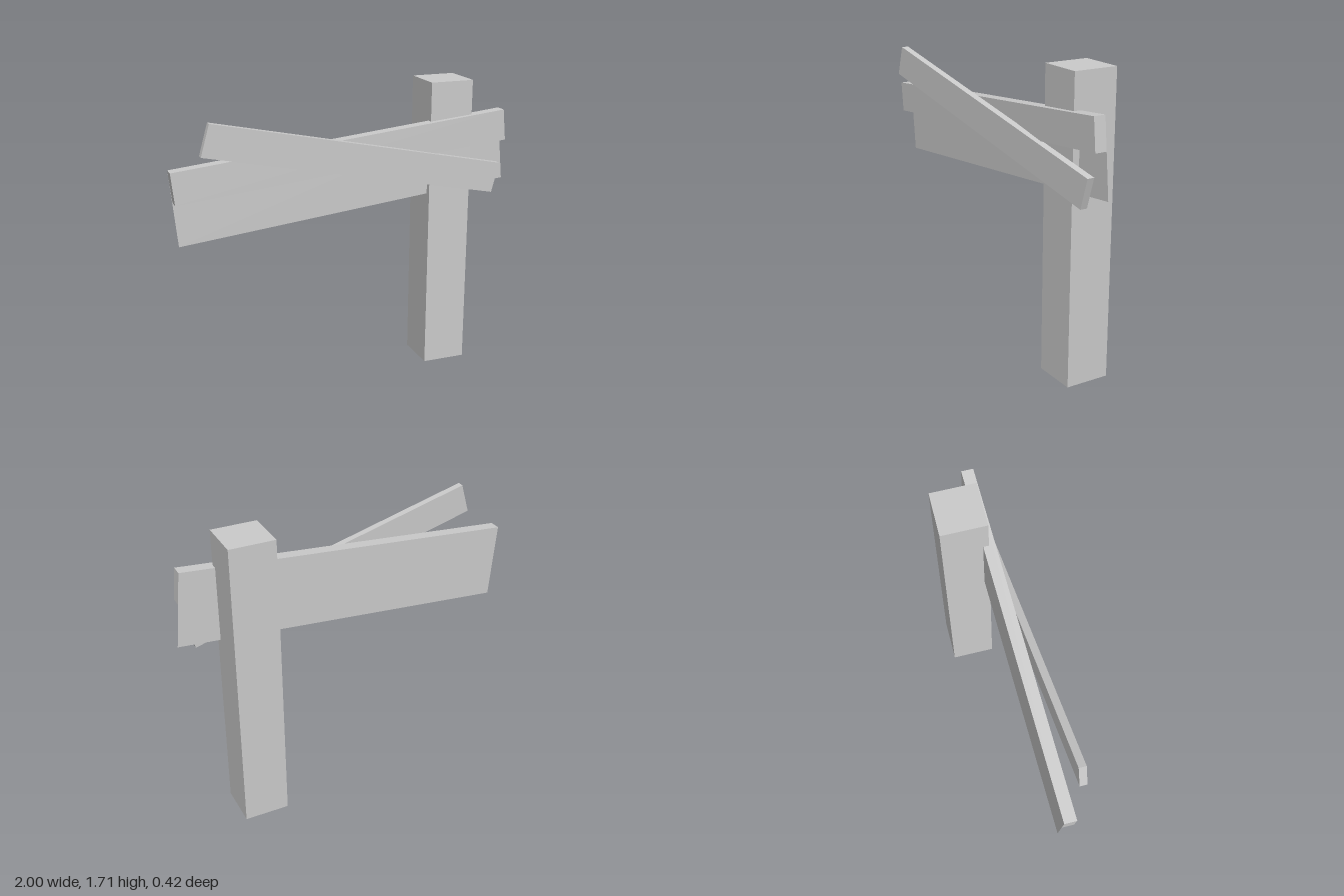
import * as THREE from 'three';

const material = new THREE.MeshStandardMaterial({ color: 0xcccccc, flatShading: true, side: THREE.DoubleSide });

// Plank outlined in the front plane, slanted so its back lies at z = zMid + slope * x.
// A depth of zero gives a single thin sheet.
function plank(name, corners, zMid, slope, depth) {
  const shape = new THREE.Shape(corners.map(([x, y]) => new THREE.Vector2(x, y)));
  const geometry = depth > 0
    ? new THREE.ExtrudeGeometry(shape, { depth, bevelEnabled: false })
    : new THREE.ShapeGeometry(shape);
  const p = geometry.attributes.position;
  for (let i = 0; i < p.count; i++) p.setZ(i, p.getZ(i) + zMid + slope * p.getX(i));
  geometry.computeVertexNormals();
  const mesh = new THREE.Mesh(geometry, material);
  mesh.name = name;
  return mesh;
}

export function createModel() {
  const model = new THREE.Group();
  model.name = 'signpost';

  // Square post, open underneath (the bottom face is dropped)
  const postGeometry = new THREE.BoxGeometry(0.255, 1.705, 0.255);
  const index = Array.from(postGeometry.index.array);
  index.splice(18, 6);
  postGeometry.setIndex(index);
  postGeometry.clearGroups();
  const post = new THREE.Mesh(postGeometry, material);
  post.name = 'post';
  post.position.set(0.633, 0.8525, -0.083);
  model.add(post);

  // Thin backing sheet that carries on below the upper board
  model.add(plank('backPanel',
    [[-0.96, 0.92], [0.998, 1.102], [0.955, 1.526], [-1, 1.346]], 0.027, -0.028, 0));

  // Thick board along the top of the sheet
  model.add(plank('upperBoard',
    [[-0.982, 1.17], [0.973, 1.348], [0.955, 1.526], [-1, 1.346]], 0.027, -0.028, 0.067));

  // Loose board nailed across the front
  model.add(plank('crossBoard',
    [[-0.855, 1.435], [0.888, 1.045], [0.936, 1.215], [-0.805, 1.605]], 0.107, -0.071, 0.04));

  return model;
}
